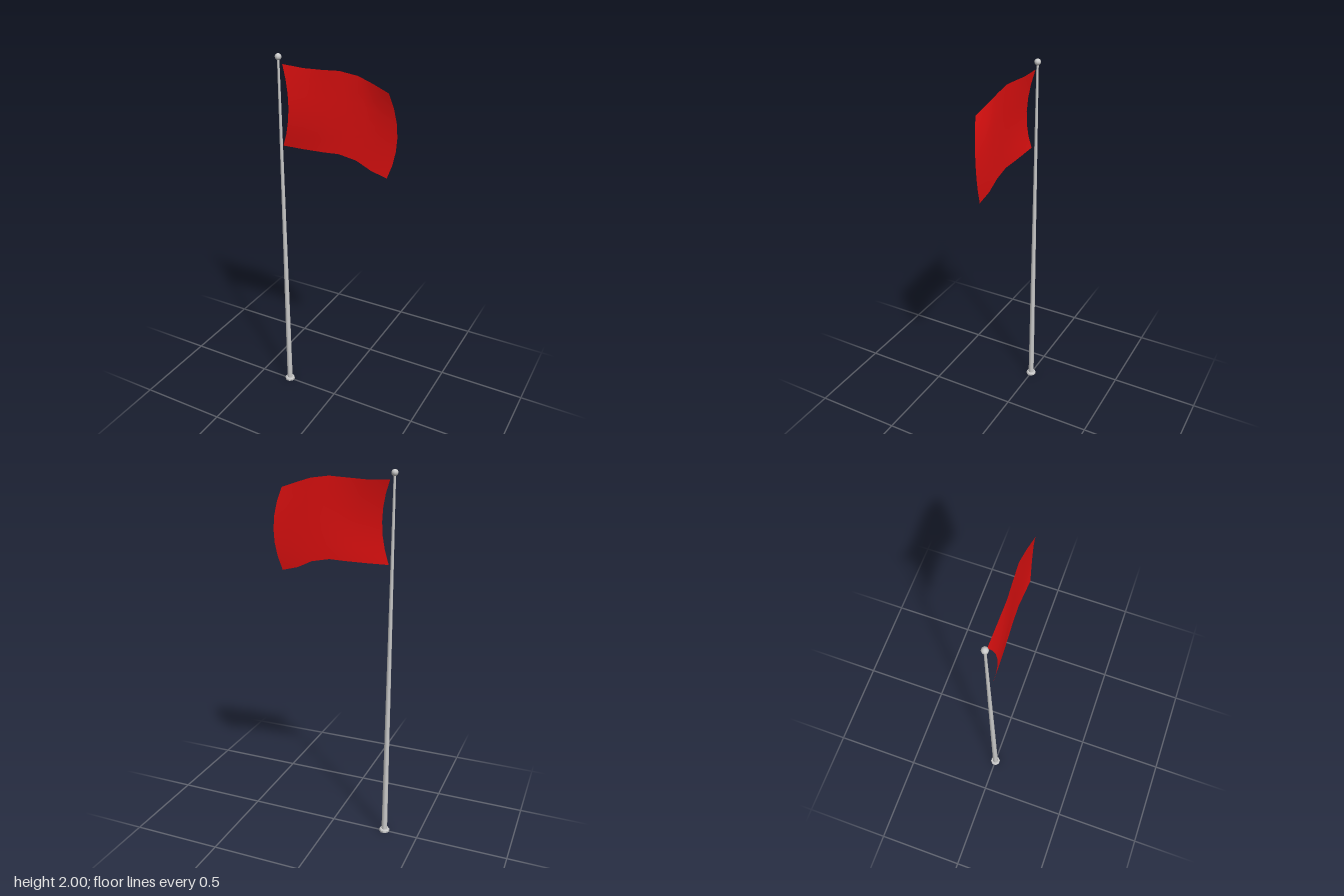
import * as THREE from 'three';

const POLE_X = -0.31;

// Eight-sided turned part with its flats facing the axes
function turned(name, profile, material) {
  const points = profile.map(([r, y]) => new THREE.Vector2(r, y));
  const geometry = new THREE.LatheGeometry(points, 8, Math.PI / 8);
  const mesh = new THREE.Mesh(geometry, material);
  mesh.name = name;
  mesh.position.x = POLE_X;
  return mesh;
}

// Curved cloth: each column runs from the top edge to the bottom edge
function flagGeometry() {
  // x, top y, bottom y, then z at top, middle and bottom
  const columns = [
    [-0.288, 1.95, 1.535, 0.0, 0.024, 0.014],
    [-0.17, 1.945, 1.535, 0.001, 0.015, 0.01],
    [-0.06, 1.95, 1.537, 0.003, 0.004, 0.005],
    [0.025, 1.955, 1.541, -0.002, -0.004, 0.0],
    [0.12, 1.942, 1.523, -0.009, -0.01, -0.005],
    [0.2, 1.917, 1.485, -0.003, -0.012, -0.006],
    [0.288, 1.887, 1.462, 0.008, -0.012, -0.004],
  ];
  const rows = 6;
  const geometry = new THREE.PlaneGeometry(1, 1, columns.length - 1, rows);
  const position = geometry.attributes.position;
  for (let i = 0; i < position.count; i++) {
    const [x, top, bottom, z0, z1, z2] = columns[i % columns.length];
    const v = Math.floor(i / columns.length) / rows;
    const bow = 4 * v * (1 - v);
    position.setXYZ(
      i,
      x + 0.043 * bow,
      THREE.MathUtils.lerp(top, bottom, v),
      THREE.MathUtils.lerp(z0, z2, v) + bow * (z1 - (z0 + z2) / 2)
    );
  }
  geometry.computeVertexNormals();
  return geometry;
}

export function createModel() {
  const group = new THREE.Group();
  group.name = 'flagpole';
  const grey = new THREE.MeshStandardMaterial({ color: 0xcccccc });
  const red = new THREE.MeshStandardMaterial({ color: 0xe01010, side: THREE.DoubleSide });

  // Foot plate with a small bevel
  group.add(turned('base', [[0, 0], [0.029, 0], [0.029, 0.0], [0.029, 0.011],
    [0.029, 0.011], [0.025, 0.016], [0.025, 0.016], [0, 0.016]], grey));

  // Tapering pole
  group.add(turned('pole', [[0.016, 0.014], [0.013, 0.7], [0.01, 1.27], [0.006, 1.975]], grey));

  // Ball on top
  const ball = new THREE.Mesh(new THREE.SphereGeometry(0.017, 8, 8), grey);
  ball.name = 'finial';
  ball.rotation.y = Math.PI / 8;
  ball.position.set(POLE_X, 1.983, 0);
  group.add(ball);

  // Flag
  const flag = new THREE.Mesh(flagGeometry(), red);
  flag.name = 'flag';
  group.add(flag);

  return group;
}
